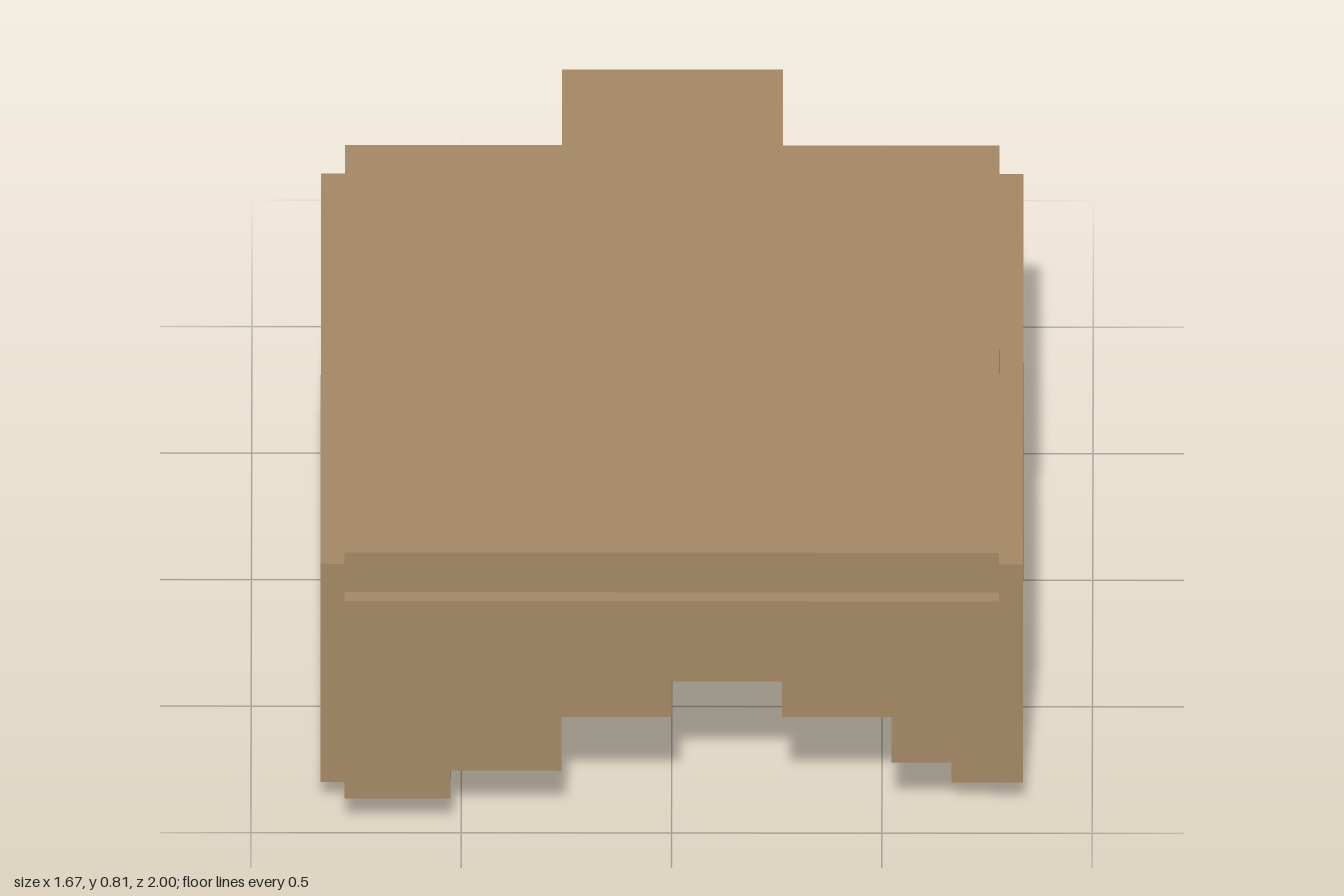
import * as THREE from 'three';

const brown = new THREE.MeshStandardMaterial({ color: 0xa28664 });
brown.name = 'brown';

// Box given by its min and max corner
function block(name, [x0, y0, z0], [x1, y1, z1]) {
  const geo = new THREE.BoxGeometry(x1 - x0, y1 - y0, z1 - z0);
  geo.translate((x0 + x1) / 2, (y0 + y1) / 2, (z0 + z1) / 2);
  const mesh = new THREE.Mesh(geo, brown);
  mesh.name = name;
  return mesh;
}

// Front panel whose lower edge is cut into six steps
function steppedFringe() {
  const top = 0.69;
  const edges = [-0.778, -0.525, -0.262, 0, 0.262, 0.523, 0.778];
  const shape = new THREE.Shape();
  shape.moveTo(edges[0], top);
  [0.102, 0.185, 0.345, 0.451, 0.345, 0.21].forEach((y, i) => {
    shape.lineTo(edges[i], y);
    shape.lineTo(edges[i + 1], y);
  });
  shape.lineTo(edges[6], top);
  const geo = new THREE.ExtrudeGeometry(shape, { depth: 0.087, bevelEnabled: false });
  geo.translate(0, 0, 0.913);
  const mesh = new THREE.Mesh(geo, brown);
  mesh.name = 'frontFringe';
  return mesh;
}

export function createModel() {
  const model = new THREE.Group();
  model.name = 'blockHair';

  // Crown slab and back panel
  model.add(block('crown', [-0.778, 0.66, -0.645], [0.778, 0.808, 0.965]));
  model.add(block('backPanel', [-0.778, 0, -0.678], [0.778, 0.667, -0.56]));

  // Mirrored side panels
  model.add(block('leftSide', [0.665, 0.086, -0.63], [0.835, 0.735, 0.913]));
  model.add(block('rightSide', [-0.835, 0.086, -0.63], [-0.665, 0.735, 0.913]));

  // Rear bunch and front fringe
  model.add(block('rearBunch', [-0.263, 0.104, -1], [0.263, 0.766, -0.63]));
  model.add(steppedFringe());

  return model;
}
